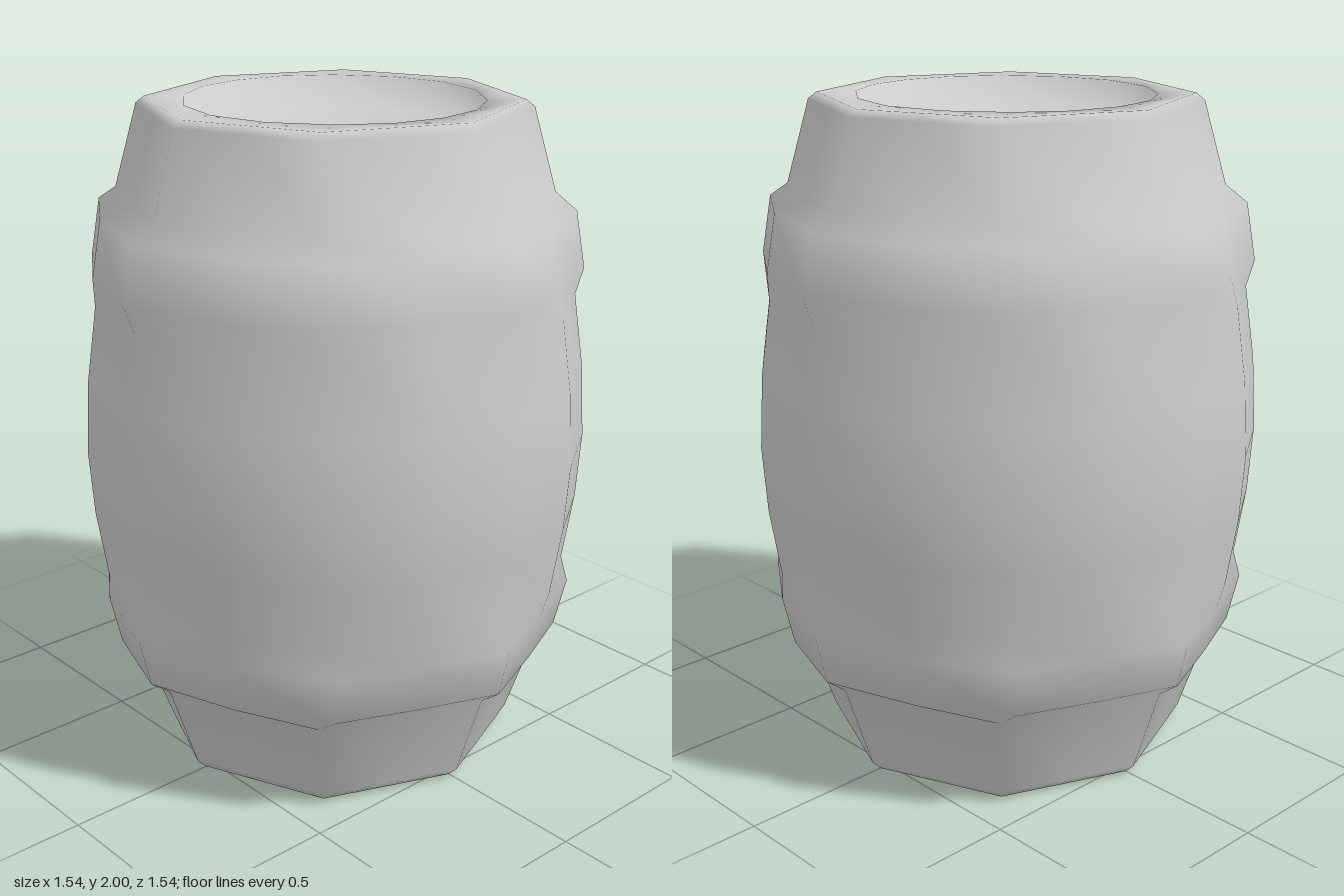
import * as THREE from 'three';
import { mergeVertices } from 'three/addons/utils/BufferGeometryUtils.js';

// Facet styles: full 16 sides, flattened hoops, or plain 8 sides. Each lists, for the
// five corners from the z axis to the x axis, the angle in degrees and the radius factor.
const ROUND = { angle: [0, 20.5, 41.5, 66, 90], scale: [1, 1, 0.985, 0.99, 1] };
const HOOP = { angle: [0, 20.5, 41.5, 66, 90], scale: [1, 0.93, 0.975, 0.955, 1] };
const OCTAGON = { angle: [0, 22.5, 45, 67.5, 90], scale: [1, 0.924, 1, 0.924, 1] };
const SIDES = 16;

// Revolve [radius, y, style] rows, placing the corners of each row by its style
function revolve(name, rows, material) {
  const points = rows.map(([r, y]) => new THREE.Vector2(r, y));
  let geo = new THREE.LatheGeometry(points, SIDES);
  const pos = geo.attributes.position;
  for (let i = 0; i < pos.count; i++) {
    const corner = Math.floor(i / rows.length) % SIDES;
    const [radius, , style] = rows[i % rows.length];
    // Mirror every quadrant onto the first one
    const half = corner % 8;
    const step = half > 4 ? 8 - half : half;
    const a = THREE.MathUtils.degToRad(style.angle[step]);
    const r = radius * style.scale[step];
    const signX = corner > 8 ? -1 : 1;
    const signZ = corner > 4 && corner < 12 ? -1 : 1;
    pos.setX(i, signX * r * Math.sin(a));
    pos.setZ(i, signZ * r * Math.cos(a));
  }
  // Weld the seam so the shading is smooth all the way round
  geo.deleteAttribute('uv');
  geo.deleteAttribute('normal');
  geo = mergeVertices(geo, 1e-4);
  geo.computeVertexNormals();
  const mesh = new THREE.Mesh(geo, material);
  mesh.name = name;
  return mesh;
}

export function createModel() {
  const group = new THREE.Group();
  group.name = 'barrel';
  const material = new THREE.MeshStandardMaterial({ color: 0xcccccc });

  // Shallow recessed lids inside both end rims, from the centre out to the rim
  const lid = [[0, 0.1, ROUND], [0.43, 0.1, ROUND], [0.445, 0, ROUND]];
  const topLid = lid.map(([r, depth, style]) => [r, 2 - depth, style]).reverse();

  // Bulging shell with two raised hoops and tapered, flat-lipped ends
  group.add(revolve('barrelShell', [
    ...lid,
    [0.53, 0, OCTAGON], [0.56, 0.03, OCTAGON],
    [0.655, 0.31, OCTAGON], [0.72, 0.36, HOOP], [0.755, 0.51, HOOP],
    [0.725, 0.59, ROUND], [0.757, 0.8, ROUND], [0.77, 1.0, ROUND],
    [0.757, 1.22, ROUND], [0.725, 1.44, ROUND],
    [0.755, 1.52, HOOP], [0.725, 1.69, HOOP], [0.645, 1.735, OCTAGON],
    [0.575, 1.98, OCTAGON], [0.55, 2, OCTAGON],
    ...topLid,
  ], material));

  return group;
}
